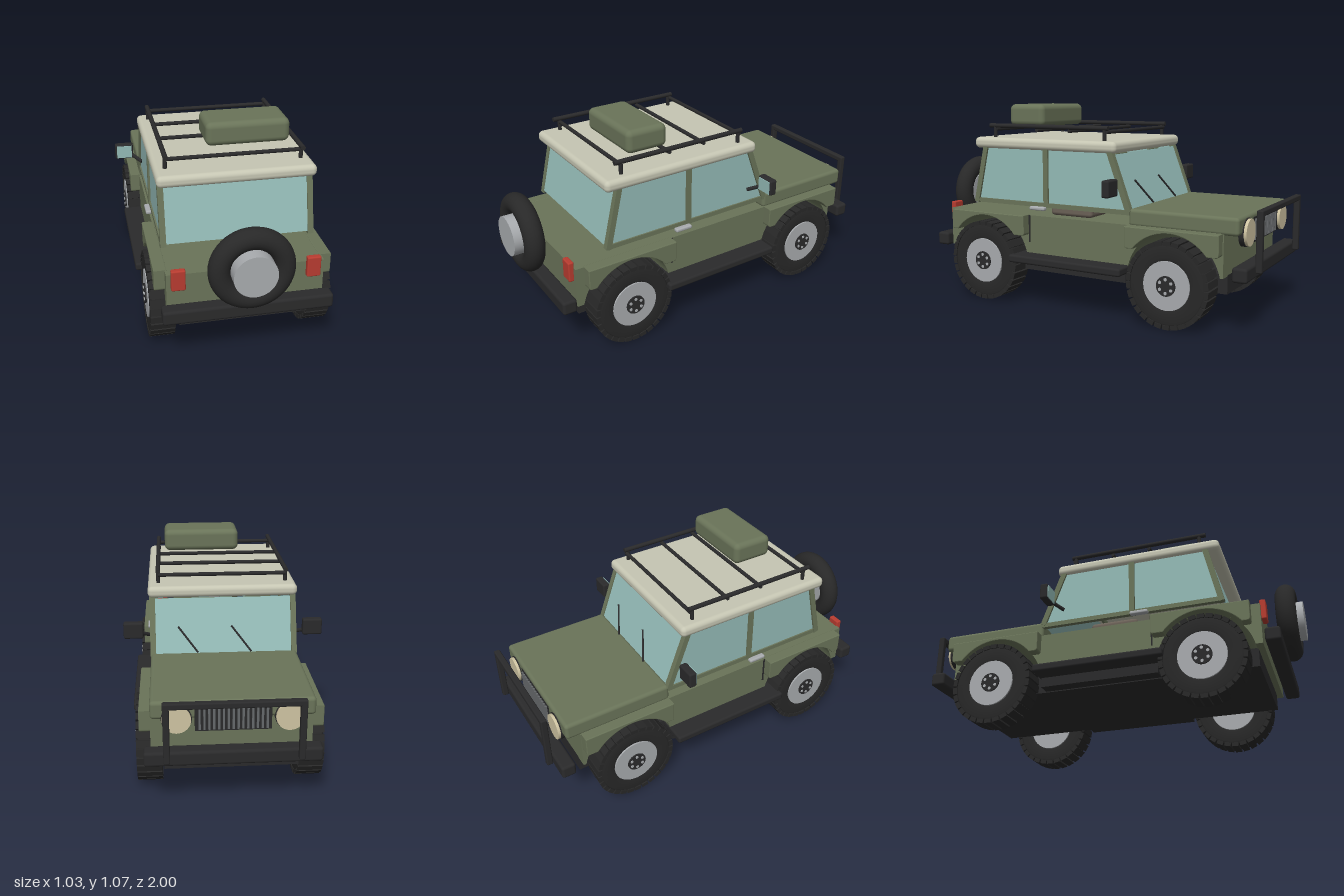
import * as THREE from 'three';
import { RoundedBoxGeometry } from 'three/addons/geometries/RoundedBoxGeometry.js';

const material = (name, color) => {
  const m = new THREE.MeshStandardMaterial({ color });
  m.name = name;
  return m;
};

export function createModel() {
  const olive = material('olive paint', 0x6a7459);
  const cream = material('roof cream', 0xc6c6b3);
  const glass = material('window glass', 0x94bbb7);
  const black = material('black trim', 0x2a2a2b);
  const rubber = material('tyre rubber', 0x282828);
  const metal = material('bare metal', 0xa8abae);
  const red = material('tail lamp red', 0xb83c30);
  const lamp = material('headlight cream', 0xcfc4a2);
  const brown = material('seat brown', 0x6b6157);
  const grey = material('grille grey', 0x66696b);

  const car = new THREE.Group();
  car.name = 'offRoadCar';

  const add = (name, geometry, mat, x = 0, y = 0, z = 0, parent = car) => {
    const mesh = new THREE.Mesh(geometry, mat);
    mesh.name = name;
    mesh.position.set(x, y, z);
    parent.add(mesh);
    return mesh;
  };
  // Box given by its lower and upper corners, optionally rounded
  const block = (name, mat, [x0, y0, z0], [x1, y1, z1], r = 0) => {
    const size = [x1 - x0, y1 - y0, z1 - z0];
    const geo = r ? new RoundedBoxGeometry(...size, 3, r) : new THREE.BoxGeometry(...size);
    return add(name, geo, mat, (x0 + x1) / 2, (y0 + y1) / 2, (z0 + z1) / 2);
  };
  // Round bar or square beam between two points
  const bar = (name, mat, from, to, r, square = false) => {
    const a = new THREE.Vector3(...from), b = new THREE.Vector3(...to);
    const len = a.distanceTo(b);
    const geo = square ? new THREE.BoxGeometry(r * 2, len, r * 2) : new THREE.CylinderGeometry(r, r, len, 14);
    const mesh = add(name, geo, mat, ...a.clone().lerp(b, 0.5).toArray());
    mesh.quaternion.setFromUnitVectors(new THREE.Vector3(0, 1, 0), b.sub(a).normalize());
    return mesh;
  };
  // Side profile (z, y) extruded across x from x0 to x1
  const sidePanel = (name, mat, shape, x0, x1, bevel = 0) => {
    const geo = new THREE.ExtrudeGeometry(shape, {
      depth: x1 - x0 - 2 * bevel, curveSegments: 28, bevelEnabled: bevel > 0,
      bevelSize: bevel, bevelThickness: bevel, bevelOffset: -bevel, bevelSegments: 2,
    });
    geo.rotateY(-Math.PI / 2);
    return add(name, geo, mat, x1 - bevel, 0, 0);
  };
  const polygon = (points) => new THREE.Shape(points.map((p) => new THREE.Vector2(...p)));

  const REAR = 0.535, FRONT = -0.575, HUB = 0.218, ARCH = 0.25;
  // Adds a wheel arch to a profile whose base line runs towards +z
  const arch = (shape, z, base) => {
    const a = Math.asin((base - HUB) / ARCH);
    shape.lineTo(z - ARCH * Math.cos(a), base);
    shape.absarc(z, HUB, ARCH, Math.PI - a, a, true);
  };

  // Lower body with both wheel arches cut through
  const tub = new THREE.Shape();
  tub.moveTo(-0.835, 0.27);
  arch(tub, FRONT, 0.27);
  arch(tub, REAR, 0.27);
  tub.lineTo(0.815, 0.27);
  tub.lineTo(0.815, 0.482);
  tub.lineTo(-0.835, 0.482);
  sidePanel('lowerBody', olive, tub, -0.38, 0.38);
  block('chassis', black, [-0.318, 0.18, -0.835], [0.318, 0.275, 0.785]);
  block('hood', olive, [-0.378, 0.475, -0.905], [0.378, 0.563, -0.33], 0.018);

  // Flared fenders, sills, door seams and handles
  for (const s of [-1, 1]) {
    const span = (a, b) => (s > 0 ? [a, b] : [-b, -a]);
    for (const [name, z, z0, z1] of [['rearFender', REAR, 0.275, 0.77], ['frontFender', FRONT, -0.83, -0.335]]) {
      const f = new THREE.Shape();
      f.moveTo(z0 + 0.015, 0.375);
      arch(f, z, 0.375);
      f.lineTo(z1 - 0.015, 0.375);
      f.quadraticCurveTo(z1, 0.375, z1, 0.39);
      f.lineTo(z1, 0.484);
      f.lineTo(z0, 0.484);
      f.lineTo(z0, 0.39);
      f.quadraticCurveTo(z0, 0.375, z0 + 0.015, 0.375);
      sidePanel(name, olive, f, ...span(0.37, 0.432), 0.004);
    }
    const [a, b] = span(0.31, 0.48);
    block('sillStep', black, [a, 0.235, -0.335], [b, 0.277, 0.345], 0.012);
    const [c, d] = span(0.3, 0.385);
    block('sill', black, [c, 0.185, -0.32], [d, 0.27, 0.3]);
    const [e, g] = span(0.378, 0.384);
    block('doorSeam', black, [e, 0.335, 0.266], [g, 0.482, 0.274]);
    const [h, i] = span(0.375, 0.405);
    block('doorHandle', metal, [h, 0.515, 0.16], [i, 0.535, 0.255], 0.008);
  }

  // Cabin: pillars, rails and side glass
  for (const s of [-1, 1]) {
    const x = s * 0.366;
    bar('rearPillar', olive, [x, 0.53, 0.632], [x, 0.845, 0.56], 0.0145, true);
    bar('middlePillar', olive, [x, 0.53, 0.165], [x, 0.845, 0.165], 0.0145, true);
    bar('frontPillar', olive, [x, 0.545, -0.33], [x, 0.845, -0.218], 0.0145, true);
    bar('windowRail', olive, [x, 0.542, -0.335], [x, 0.542, 0.64], 0.012, true);
    const pane = polygon([[-0.325, 0.55], [0.622, 0.55], [0.557, 0.838], [-0.218, 0.838]]);
    sidePanel('sideWindow', glass, pane, x - 0.004, x + 0.004);
  }
  const sheet = (name, y0, z0, y1, z1) => {
    const mesh = add(name, new THREE.BoxGeometry(0.705, Math.hypot(y1 - y0, z1 - z0), 0.008), glass,
      0, (y0 + y1) / 2, (z0 + z1) / 2);
    mesh.rotation.x = Math.atan2(z1 - z0, y1 - y0);
  };
  sheet('rearWindow', 0.545, 0.636, 0.825, 0.57);
  sheet('windshield', 0.545, -0.335, 0.825, -0.23);
  block('roof', cream, [-0.388, 0.832, -0.257], [0.388, 0.892, 0.635], 0.025);

  // Seats and sun visors
  for (const x of [-0.19, 0.19]) {
    block('seat', brown, [x - 0.13, 0.482, -0.08], [x + 0.13, 0.54, 0.175], 0.02);
    block('sunVisor', olive, [x - 0.065, 0.79, -0.19], [x + 0.065, 0.826, -0.175], 0.005);
  }

  // Wipers
  for (const x of [-0.14, 0.135]) bar('wiper', black, [x, 0.567, -0.35], [x + 0.1, 0.69, -0.292], 0.005);

  // Roof rack and luggage
  for (const x of [-0.333, 0.333]) {
    bar('rackRail', black, [x, 0.955, -0.19], [x, 0.955, 0.56], 0.012);
    for (const z of [-0.168, 0.525]) bar('rackPost', black, [x, 0.885, z], [x, 0.955, z], 0.01);
  }
  for (const z of [-0.178, 0.045, 0.25, 0.522]) bar('rackCrossbar', black, [-0.333, 0.936, z], [0.333, 0.936, z], 0.01);
  block('luggageCase', olive, [-0.122, 0.953, 0.237], [0.296, 1.072, 0.462], 0.03);

  // Wing mirrors, glass facing back
  for (const s of [-1, 1]) {
    const x = s * 0.466;
    add('mirrorHousing', new RoundedBoxGeometry(0.102, 0.086, 0.042, 3, 0.01), black, x, 0.671, -0.274);
    add('mirrorGlass', new THREE.BoxGeometry(0.084, 0.07, 0.006), glass, x, 0.671, -0.252);
    bar('mirrorArm', black, [s * 0.372, 0.62, -0.215], [s * 0.43, 0.652, -0.27], 0.01);
  }

  // Bumpers and bull bar
  block('rearBumper', black, [-0.41, 0.265, 0.828], [0.41, 0.337, 0.903], 0.014);
  block('frontBumper', black, [-0.41, 0.265, -0.96], [0.41, 0.337, -0.885], 0.014);
  for (const x of [-0.305, 0.305]) block('bullBarPost', black, [x - 0.015, 0.3, -1], [x + 0.015, 0.595, -0.968], 0.007);
  block('bullBarTop', black, [-0.32, 0.568, -1], [0.32, 0.598, -0.968], 0.007);

  // Grille, headlights and tail lamps
  block('grillePanel', black, [-0.175, 0.415, -0.908], [0.175, 0.54, -0.885]);
  for (let i = 0; i < 15; i++) {
    const x = -0.154 + i * 0.022;
    block('grilleSlat', grey, [x - 0.005, 0.425, -0.918], [x + 0.005, 0.53, -0.905]);
  }
  for (const x of [-0.258, 0.258]) {
    const disc = (r, depth) => new THREE.CylinderGeometry(r, r, depth, 32).rotateX(Math.PI / 2);
    add('headlightRing', disc(0.07, 0.025), black, x, 0.48, -0.898);
    add('headlight', disc(0.066, 0.025), lamp, x, 0.48, -0.912);
  }
  for (const x of [-0.325, 0.325]) block('tailLamp', red, [x - 0.034, 0.407, 0.81], [x + 0.034, 0.513, 0.84], 0.007);

  // Road wheels: tyre, tread lugs, rim, hub and bolts
  const tyreProfile = [[0.115, -0.05], [0.135, -0.058], [0.19, -0.058], [0.207, -0.048],
    [0.207, 0.048], [0.19, 0.058], [0.135, 0.058], [0.115, 0.05]].map((p) => new THREE.Vector2(...p));
  const tyreGeo = new THREE.LatheGeometry(tyreProfile, 48).rotateZ(Math.PI / 2);
  const axle = (r, w) => new THREE.CylinderGeometry(r, r, w, 32).rotateZ(Math.PI / 2);
  const lugGeo = new THREE.BoxGeometry(0.122, 0.022, 0.036);
  const rimGeo = axle(0.122, 0.122), hubGeo = axle(0.05, 0.008), boltGeo = axle(0.008, 0.008);
  for (const s of [-1, 1]) for (const z of [REAR, FRONT]) {
    const wheel = new THREE.Group();
    wheel.name = z > 0 ? 'rearWheel' : 'frontWheel';
    wheel.position.set(s * 0.39, HUB, z);
    car.add(wheel);
    add('tyre', tyreGeo, rubber, 0, 0, 0, wheel);
    add('rim', rimGeo, metal, 0, 0, 0, wheel);
    add('hub', hubGeo, black, s * 0.064, 0, 0, wheel);
    for (let i = 0; i < 30; i++) {
      const a = (i / 30) * Math.PI * 2;
      add('treadLug', lugGeo, rubber, 0, 0.206 * Math.cos(a), 0.206 * Math.sin(a), wheel).rotation.x = a;
    }
    for (let i = 0; i < 6; i++) {
      const a = (i / 6) * Math.PI * 2;
      add('wheelBolt', boltGeo, metal, s * 0.067, 0.034 * Math.cos(a), 0.034 * Math.sin(a), wheel);
    }
  }

  // Spare wheel
  add('spareTyre', new THREE.TorusGeometry(0.153, 0.052, 20, 48), rubber, 0, 0.54, 0.917);
  add('spareHub', new THREE.CylinderGeometry(0.103, 0.103, 0.11, 40).rotateX(Math.PI / 2), metal, 0, 0.54, 0.945);

  return car;
}
